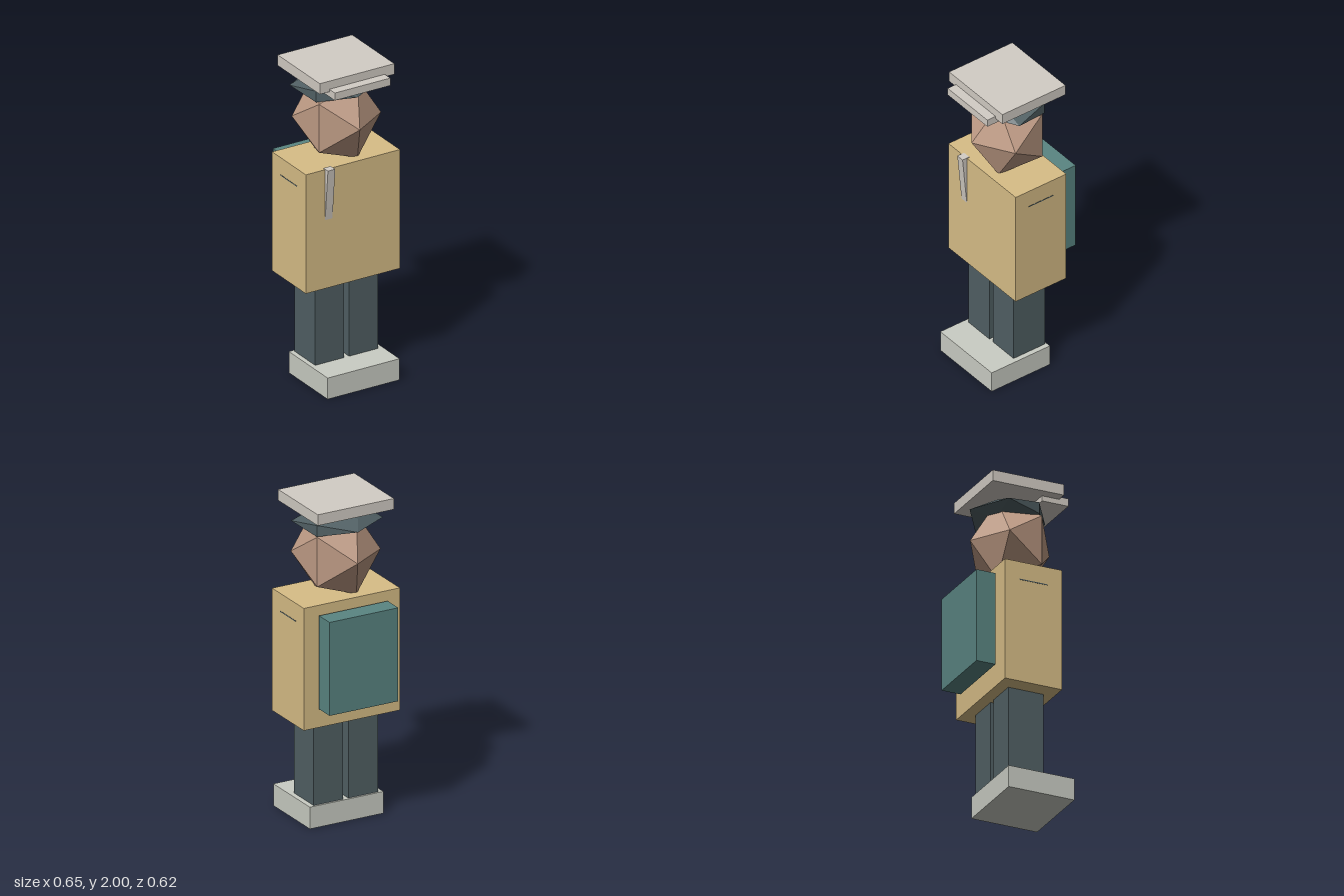
import * as THREE from 'three';

const paint = (color) => new THREE.MeshStandardMaterial({ color, flatShading: true });

export function createModel() {
  const model = new THREE.Group();
  const cream = paint(0xd3cdc5);
  const pale = paint(0xcacdc4);
  const slate = paint(0x516064);
  const tan = paint(0xd8be87);
  const teal = paint(0x5a8582);
  const skin = paint(0xbd9a84);

  const add = (name, geometry, material) => {
    const mesh = new THREE.Mesh(geometry, material);
    mesh.name = name;
    model.add(mesh);
    return mesh;
  };

  // Box given by its extents along x, y and z
  const box = (name, material, [x0, x1], [y0, y1], [z0, z1]) =>
    add(name, new THREE.BoxGeometry(x1 - x0, y1 - y0, z1 - z0), material)
      .position.set((x0 + x1) / 2, (y0 + y1) / 2, (z0 + z1) / 2);

  // Icosahedron with one corner pointing forward, stretched per axis
  const gem = (name, material, [rx, ry, rz], y, z) => {
    const g = new THREE.IcosahedronGeometry(1, 0);
    g.rotateX(Math.atan(2 / (1 + Math.sqrt(5))));
    g.rotateZ(Math.PI / 2);
    g.scale(rx, ry, rz);
    g.computeVertexNormals();
    add(name, g, material).position.set(0, y, z);
  };

  // Feet and legs
  box('feet', pale, [-0.246, 0.246], [0, 0.136], [-0.112, 0.312]);
  box('rightLeg', slate, [-0.216, -0.018], [0.13, 0.66], [-0.1, 0.128]);
  box('leftLeg', slate, [0.016, 0.214], [0.13, 0.66], [-0.1, 0.128]);

  // Torso, with a thin seam just showing at both sides
  box('torso', tan, [-0.322, 0.322], [0.65, 1.413], [-0.173, 0.195]);
  box('shoulderSeam', slate, [-0.3235, 0.3235], [1.298, 1.304], [-0.08, 0.1]);

  // Tapered strap on the chest
  const side = new THREE.Shape([
    [-0.18, 1.418], [-0.18, 1.09], [-0.197, 1.09], [-0.206, 1.17], [-0.229, 1.418],
  ].map(([x, y]) => new THREE.Vector2(x, y)).reverse());
  const strap = new THREE.ExtrudeGeometry(side, { depth: 0.05, bevelEnabled: false });
  strap.rotateY(Math.PI / 2);
  add('chestStrap', strap, cream).position.x = -0.192;

  // Backpack
  box('backpack', teal, [-0.23, 0.23], [0.772, 1.355], [-0.312, -0.19]);

  // Head and cap
  gem('head', skin, [0.262, 0.295, 0.256], 1.65, 0.015);
  gem('capBand', slate, [0.273, 0.067, 0.244], 1.848, 0);
  box('capTop', cream, [-0.255, 0.255], [1.932, 2], [-0.219, 0.241]);
  box('capVisor', cream, [-0.19, 0.19], [1.9, 1.948], [0.13, 0.301]);

  return model;
}
